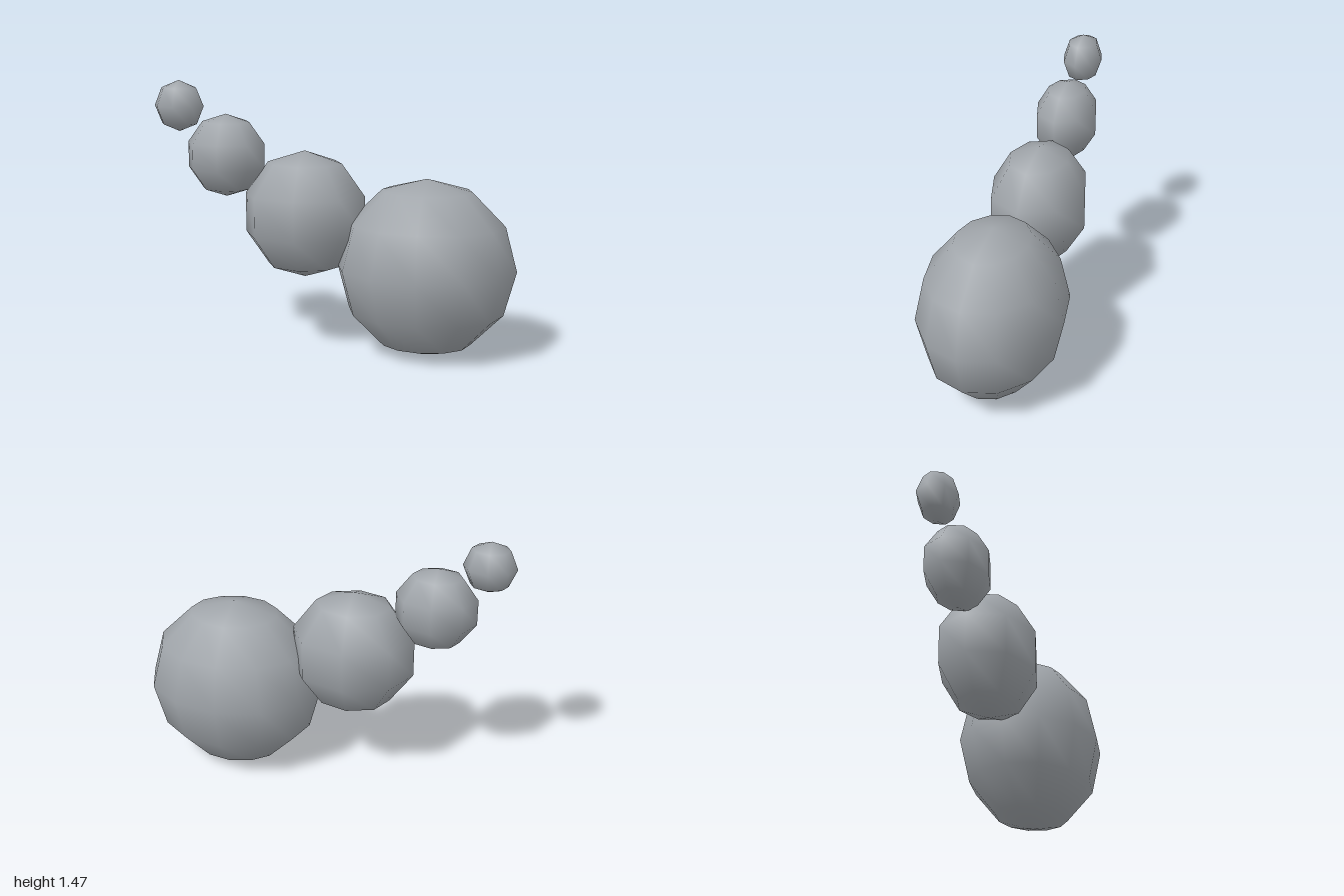
import * as THREE from 'three';

export function createModel() {
  const group = new THREE.Group();
  const grey = new THREE.MeshStandardMaterial({ color: 0xa0a5aa });
  grey.name = 'grey';

  // Chain of shrinking balls, flattened front to back: x, y, radius, sides, rings
  const balls = [
    ['largeBall', 0.513, 0.487, 0.487, 12, 6],
    ['mediumBall', -0.155, 0.755, 0.35, 8, 5],
    ['smallBall', -0.596, 1.065, 0.227, 8, 5],
    ['tipBall', -0.86, 1.33, 0.14, 8, 4],
  ];
  for (const [name, x, y, radius, sides, rings] of balls) {
    const ball = new THREE.Mesh(new THREE.SphereGeometry(radius, sides, rings), grey);
    ball.name = name;
    ball.position.set(x, y, 0);
    ball.scale.z = 0.8;
    group.add(ball);
  }
  return group;
}
